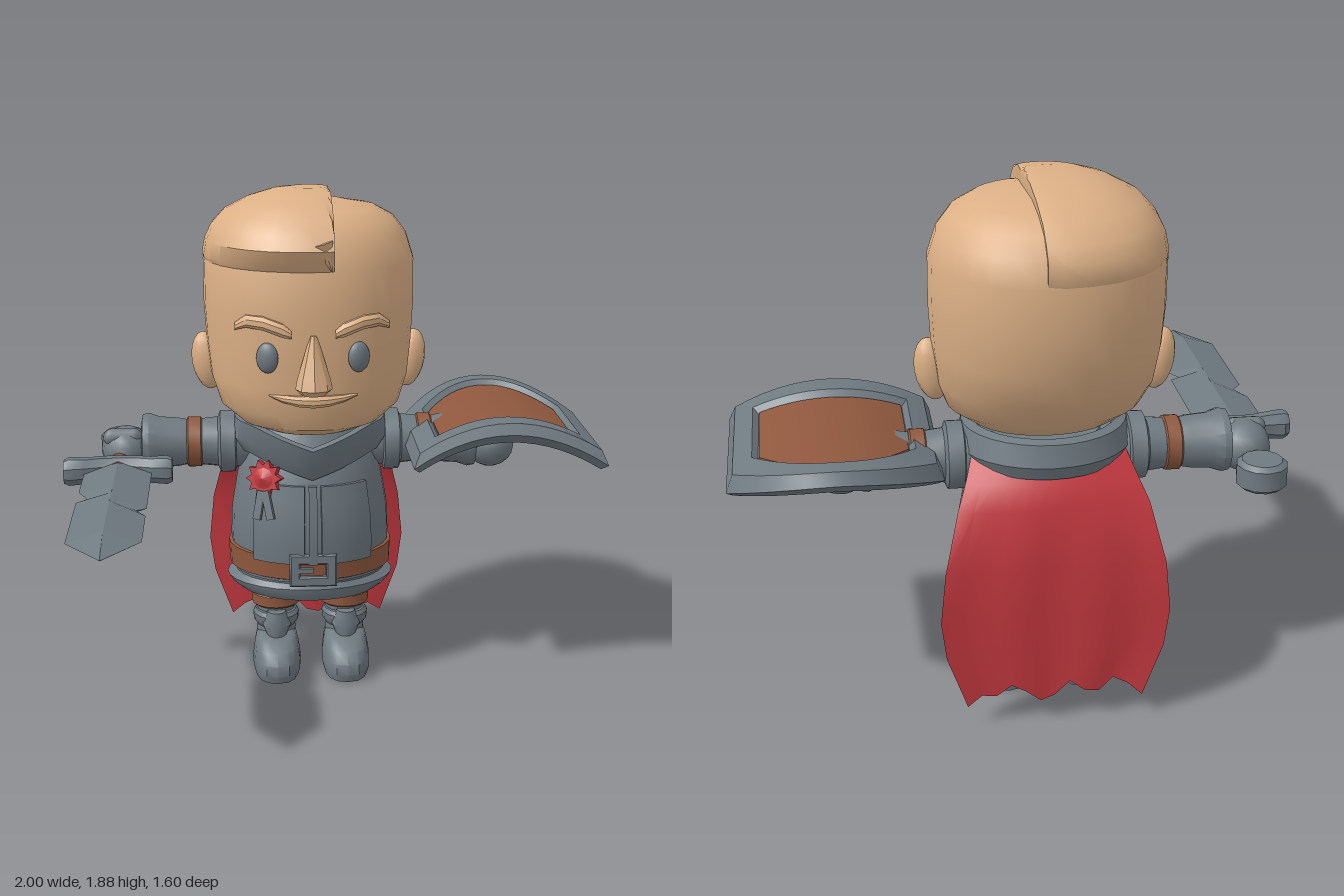
import * as THREE from 'three';
import { toCreasedNormals } from 'three/addons/utils/BufferGeometryUtils.js';

const mat = (name, color, side = THREE.FrontSide) =>
  Object.assign(new THREE.MeshStandardMaterial({ color, side }), { name });
const skin = mat('skin', 0xdcb086);
const steel = mat('steel', 0x6f7a81);
const leather = mat('leather', 0x8f583e);
const red = mat('red cloth', 0xc2383f, THREE.DoubleSide);

// Skin a list of rings of [x, y, z] points; closed lofts are capped and turned outward.
function loft(rings, closed = true, crease = 0.6) {
  const n = rings[0].length, pos = rings.flat(), idx = [];
  const quad = (a, b, c, d) => idx.push([a, b, c], [a, c, d]);
  for (let r = 0; r < rings.length - 1; r++)
    for (let i = 0; i < (closed ? n : n - 1); i++) {
      const j = (i + 1) % n;
      quad(r * n + i, r * n + j, (r + 1) * n + j, (r + 1) * n + i);
    }
  if (closed) {
    const top = (rings.length - 1) * n;
    for (let i = 0; i < n / 2 - 1; i++) {
      const a = i, b = i + 1, c = n - 2 - i, d = n - 1 - i;
      quad(d, c, b, a);
      quad(top + a, top + b, top + c, top + d);
    }
    let volume = 0;
    const p = pos.map((q) => new THREE.Vector3(...q));
    for (const [a, b, c] of idx) volume += p[a].dot(p[b].clone().cross(p[c]));
    if (volume < 0) idx.forEach((t) => t.reverse());
  }
  const g = new THREE.BufferGeometry();
  g.setAttribute('position', new THREE.Float32BufferAttribute(pos.flat(), 3));
  g.setIndex(idx.flat());
  return toCreasedNormals(g, crease);
}

const pw = (v, p) => Math.sign(v) * Math.abs(v) ** p;

// Horizontal ring from a row [y, half width, front z, back z]
function ring([y, hx, zf, zb], n = 28, p = 1, x0 = 0) {
  return Array.from({ length: n }, (_, i) => {
    const a = (i / n) * Math.PI * 2;
    return [x0 + hx * pw(Math.cos(a), p), y, (zf + zb) / 2 + ((zf - zb) / 2) * pw(Math.sin(a), p)];
  });
}
const stack = (rows, n, p, x0) => loft(rows.map((r) => ring(r, n, p, x0)));

// Strand running along x from rows [x, y, z, half height, half depth]
const strand = (rows, n = 8, s = 1) => loft(rows.map(([x, y, z, ry, rz]) =>
  Array.from({ length: n }, (_, i) => {
    const a = ((i + 0.5) / n) * Math.PI * 2;
    return [x * s, y + ry * Math.sin(a), z + rz * Math.cos(a)];
  })));

function add(parent, name, geometry, material, place) {
  const m = new THREE.Mesh(geometry, material);
  m.name = name;
  if (place) m.position.set(...place);
  parent.add(m);
  return m;
}

function buildHead(body) {
  const head = new THREE.Group();
  head.name = 'head';
  body.add(head);
  add(head, 'skull', stack([[1.0, 0.17, -0.12, -0.46], [1.03, 0.26, -0.07, -0.53], [1.09, 0.335, -0.045, -0.6],
    [1.19, 0.37, -0.03, -0.685], [1.32, 0.385, -0.02, -0.735], [1.46, 0.393, -0.012, -0.755],
    [1.62, 0.393, -0.02, -0.757], [1.71, 0.365, -0.05, -0.74], [1.77, 0.32, -0.09, -0.69],
    [1.81, 0.25, -0.15, -0.6], [1.832, 0.13, -0.24, -0.5]], 32, 0.94), skin);

  // Swept hair, cut flat along the parting
  const hair = [[1.61, 0.385, -0.03, -0.75], [1.64, 0.396, -0.003, -0.762], [1.7, 0.385, 0.028, -0.76],
    [1.75, 0.36, 0.0, -0.725], [1.8, 0.315, -0.04, -0.67], [1.845, 0.23, -0.11, -0.58], [1.875, 0.14, -0.2, -0.47],
    [1.885, 0.07, -0.28, -0.4]];
  add(head, 'hair', loft(hair.map((r) => ring(r, 32, 0.94).map(([x, y, z]) =>
    [Math.min(x, 0.075 - 0.05 * Math.max(0, -z - 0.3)), y, z]))), skin);
  const lock = add(head, 'forelock', new THREE.ConeGeometry(0.04, 0.11, 6), skin, [0.05, 1.675, -0.005]);
  lock.rotation.z = Math.PI + 0.3;

  add(head, 'nose', stack([[1.18, 0.045, 0.03, -0.06], [1.205, 0.067, 0.065, -0.06], [1.24, 0.06, 0.055, -0.06],
    [1.395, 0.012, 0.0, -0.05]], 8), skin);
  add(head, 'mouth', strand([-1, -0.7, -0.35, 0, 0.35, 0.7, 1].map((t) =>
    [0.16 * t, 1.15 + 0.018 * t * t, -0.02 - 0.045 * t * t, 0.003 + 0.02 * (1 - t * t), 0.018])), skin);

  for (const s of [-1, 1]) {
    const ear = add(head, 'ear', new THREE.SphereGeometry(1, 12, 10), skin, [0.385 * s, 1.23, -0.38]);
    ear.scale.set(0.057, 0.112, 0.05);
    ear.rotation.z = -0.15 * s;
    const eye = add(head, 'eye', new THREE.SphereGeometry(1, 16, 12), steel, [0.165 * s, 1.31, -0.045]);
    eye.scale.set(0.042, 0.056, 0.025);
    eye.rotation.y = 0.4 * s;
    add(head, 'eyebrow', strand([[0.078, 1.4, -0.012, 0.014, 0.02], [0.11, 1.415, -0.015, 0.026, 0.025],
      [0.18, 1.438, -0.04, 0.026, 0.03], [0.24, 1.44, -0.08, 0.024, 0.03], [0.28, 1.415, -0.115, 0.014, 0.025]], 8, s), skin);
  }
}

// Torso half width and half depth at height y
const torsoRows = [[0.42, 0.295, 0.255], [0.55, 0.305, 0.268], [0.66, 0.3, 0.268], [0.8, 0.276, 0.242],
  [0.91, 0.25, 0.2], [1.0, 0.19, 0.16]];
function torsoAt(y) {
  const k = Math.max(1, torsoRows.findIndex((r) => r[0] >= y));
  const [a, b] = [torsoRows[k - 1], torsoRows[k]], t = (y - a[0]) / (b[0] - a[0]);
  return [a[1] + (b[1] - a[1]) * t, a[2] + (b[2] - a[2]) * t];
}

// Raised plate following the torso between two angles
function plate(a0, a1, ys, lift) {
  return loft(ys.map((y) => {
    const [hx, hz] = torsoAt(y), arc = (o) => Array.from({ length: 7 }, (_, i) => {
      const a = THREE.MathUtils.degToRad(a0 + ((a1 - a0) * i) / 6);
      return [(hx + o) * Math.cos(a), y, -0.37 + (hz + o) * Math.sin(a)];
    });
    return [...arc(lift), ...arc(-0.02).reverse()];
  }));
}

function buildTorso(body) {
  add(body, 'torso', stack(torsoRows.map(([y, hx, hz]) => [y, hx, -0.37 + hz, -0.37 - hz])), steel);
  for (const [a, b] of [[96, 135], [45, 84]]) add(body, 'breastplate', plate(a, b, [0.5, 0.56, 0.66, 0.74, 0.8], 0.014), steel);
  add(body, 'front ridge', plate(87, 93, [0.5, 0.56, 0.66, 0.8], 0.018), steel);
  add(body, 'belt', stack([[0.43, 0.3, -0.115, -0.63], [0.435, 0.312, -0.105, -0.64],
    [0.52, 0.315, -0.1, -0.64], [0.525, 0.3, -0.11, -0.63]]), leather);
  add(body, 'skirt', stack([[0.31, 0.18, -0.23, -0.5], [0.335, 0.27, -0.15, -0.59], [0.36, 0.305, -0.135, -0.61],
    [0.385, 0.322, -0.13, -0.625], [0.405, 0.29, -0.14, -0.61], [0.44, 0.29, -0.13, -0.62]]), steel);

  // Buckle frame and prong
  const frame = new THREE.Shape([[-0.083, -0.058], [0.083, -0.058], [0.083, 0.058], [-0.083, 0.058]].map((p) => new THREE.Vector2(...p)));
  frame.holes.push(new THREE.Path([[-0.055, -0.03], [-0.055, 0.03], [0.055, 0.03], [0.055, -0.03]].map((p) => new THREE.Vector2(...p))));
  add(body, 'buckle', new THREE.ExtrudeGeometry(frame, { depth: 0.025, bevelSize: 0.006, bevelThickness: 0.006, bevelSegments: 1 }),
    steel, [0, 0.477, -0.12]);
  add(body, 'buckle prong', new THREE.BoxGeometry(0.06, 0.02, 0.02), steel, [-0.03, 0.477, -0.098]);

  // Collar dipping to a point at the front
  const collar = [[0.9, 0.27, -0.13, -0.6], [0.95, 0.3, -0.1, -0.62], [1.025, 0.285, -0.08, -0.6], [1.035, 0.255, -0.1, -0.57],
    [0.95, 0.2, -0.15, -0.52]];
  add(body, 'collar', loft(collar.map((r) => ring(r, 32).map(([x, y, z]) =>
    [x, y - (z > -0.36 ? 0.08 * Math.max(0, 1 - Math.abs(x) / 0.22) : 0), z]))), steel);

  // Rosette with two ribbon tails
  const rosette = new THREE.Group();
  rosette.name = 'rosette';
  rosette.position.set(-0.17, 0.82, -0.18);
  rosette.rotation.set(-0.2, -0.45, 0);
  body.add(rosette);
  const star = new THREE.Shape(Array.from({ length: 20 }, (_, i) => {
    const r = i % 2 ? 0.05 : 0.072, a = (i / 20) * Math.PI * 2;
    return new THREE.Vector2(r * Math.cos(a), r * Math.sin(a));
  }));
  add(rosette, 'rosette petals', new THREE.ExtrudeGeometry(star, { depth: 0.03, bevelEnabled: false }), red);
  add(rosette, 'rosette button', new THREE.ConeGeometry(0.045, 0.02, 10), red, [0, 0, 0.038]).rotation.x = Math.PI / 2;
  for (const s of [-1, 1])
    add(rosette, 'ribbon tail', new THREE.BoxGeometry(0.03, 0.11, 0.015), steel, [0.018 * s, -0.1, 0.03]).rotation.z = 0.2 * s;

  // Cape with a ragged hem
  const cape = [[0.95, 0.26, -0.54, 0.08], [0.88, 0.29, -0.6, 0.06], [0.8, 0.325, -0.635, 0.03], [0.6, 0.375, -0.662, 0],
    [0.42, 0.393, -0.668, 0], [0.28, 0.375, -0.67, 0], [0.12, 0.305, -0.67, 0]];
  const hem = [-0.035, 0.01, 0.035, -0.01, 0.0, 0.035, -0.02];
  add(body, 'cape', loft(cape.map(([y, hw, z, curl], r) => Array.from({ length: 13 }, (_, i) => {
    const t = i / 6 - 1;
    return [hw * t, y + (r === 6 ? hem[Math.abs(i - 6) === 6 ? 0 : i % 7] : 0), z + curl * t * t + (r > 2 ? 0.008 * Math.cos(t * 9) : 0)];
  })), false), red);
}

function buildLimbs(body) {
  for (const s of [-1, 1]) {
    // Arm running outward along x
    const tube = (name, m, rows) => add(body, name, strand(rows.map(([x, r]) => [x, 0.91, -0.38, r, r]), 16, s), m);
    tube('sleeve', steel, [[0.15, 0.09], [0.28, 0.1], [0.285, 0.118], [0.34, 0.118], [0.35, 0.095], [0.42, 0.088]]);
    tube('arm strap', leather, [[0.41, 0.09], [0.415, 0.096], [0.462, 0.096], [0.468, 0.09]]);
    tube('gauntlet', steel, [[0.46, 0.085], [0.5, 0.093], [0.57, 0.098], [0.61, 0.112], [0.635, 0.108], [0.64, 0.08]]);
    const hand = add(body, 'hand', new THREE.SphereGeometry(1, 14, 10), steel, [0.7 * s, 0.885, -0.38]);
    hand.scale.set(0.095, 0.09, 0.1);
    add(body, 'thumb', new THREE.CapsuleGeometry(0.035, 0.08, 4, 8), steel, [0.71 * s, 0.94, -0.35]).rotation.z = Math.PI / 2;

    // Leg, strap and boot
    const x0 = 0.135 * s, part = (name, m, rows, p) => add(body, name, stack(rows, 16, p, x0), m);
    part('leg', steel, [[0.1, 0.072, -0.29, -0.44], [0.38, 0.078, -0.28, -0.45]]);
    part('leg strap', leather, [[0.253, 0.085, -0.28, -0.45], [0.26, 0.094, -0.273, -0.46],
      [0.3, 0.094, -0.273, -0.46], [0.307, 0.085, -0.28, -0.45]]);
    part('boot shaft', steel, [[0.1, 0.078, -0.27, -0.46], [0.17, 0.075, -0.28, -0.45], [0.19, 0.088, -0.26, -0.46],
      [0.22, 0.09, -0.255, -0.46], [0.235, 0.08, -0.265, -0.45]]);
    part('knee guard', steel, [[0.13, 0.03, -0.24, -0.32], [0.19, 0.055, -0.235, -0.32], [0.245, 0.035, -0.245, -0.32]]);
    part('boot foot', steel, [[0, 0.085, -0.135, -0.47], [0.03, 0.093, -0.125, -0.477], [0.07, 0.092, -0.13, -0.475],
      [0.11, 0.086, -0.16, -0.465], [0.14, 0.078, -0.215, -0.46], [0.155, 0.06, -0.26, -0.45]], 0.8);
  }
}

function buildSword() {
  const sword = new THREE.Group();
  sword.name = 'sword';
  // Notched blade with a diamond section, rows [z, left x, right x]
  const blade = [[-0.17, -0.925, -0.675], [0.08, -0.925, -0.675], [0.16, -0.89, -0.675], [0.2, -0.925, -0.675],
    [0.28, -0.925, -0.675], [0.3, -0.925, -0.71], [0.36, -0.925, -0.675], [0.63, -0.925, -0.675], [0.8, -0.802, -0.798]];
  add(sword, 'blade', loft(blade.map(([z, l, r]) => {
    const h = z > 0.7 ? 0.002 : 0.037;
    return [[l, 0.858, z], [-0.8, 0.858 + h, z], [r, 0.858, z], [-0.8, 0.858 - h, z]];
  }), true, 0.1), steel);
  add(sword, 'crossguard', strand([[-1, 0.86, -0.175, 0.045, 0.045], [-0.98, 0.86, -0.178, 0.054, 0.055],
    [-0.92, 0.86, -0.182, 0.05, 0.045], [-0.86, 0.86, -0.2, 0.05, 0.045], [-0.74, 0.86, -0.2, 0.05, 0.045],
    [-0.68, 0.86, -0.182, 0.05, 0.045], [-0.62, 0.86, -0.178, 0.054, 0.055], [-0.6, 0.86, -0.175, 0.045, 0.045]]), steel);
  add(sword, 'grip', new THREE.CylinderGeometry(0.036, 0.036, 0.4, 10), leather, [-0.8, 0.86, -0.36]).rotation.x = Math.PI / 2;
  add(sword, 'pommel', stack([[0.81, 0.07, -0.485, -0.625], [0.825, 0.088, -0.467, -0.643], [0.895, 0.088, -0.467, -0.643],
    [0.91, 0.07, -0.485, -0.625]], 12, 1, -0.8), steel);
  return sword;
}

function buildShield() {
  const shield = new THREE.Group();
  shield.name = 'shield';
  // Arched outline bent across x: half width, top z, shoulder drop, bottom z, height
  const outline = (w, top, drop, bottom, y) => {
    const side = (zAt) => Array.from({ length: 15 }, (_, i) => {
      const t = i / 7 - 1, x = 0.64 + w * t;
      return [x, y - 0.9 * (x - 0.64) ** 2, zAt(t)];
    });
    return [...side((t) => top + drop * Math.abs(t) ** 2.2), ...side((t) => bottom - 0.025 * (1 - t * t)).reverse()];
  };
  add(shield, 'shield rim', loft([outline(0.335, -0.765, 0.22, 0.0, 0.985), outline(0.358, -0.8, 0.23, 0.03, 1.02),
    outline(0.335, -0.775, 0.23, 0.01, 1.06), outline(0.27, -0.705, 0.21, -0.085, 1.06),
    outline(0.25, -0.685, 0.2, -0.11, 1.035)]), steel);
  add(shield, 'shield panel', loft([outline(0.247, -0.68, 0.2, -0.113, 1.034), outline(0.247, -0.68, 0.2, -0.113, 1.041)]), leather);
  add(shield, 'arm mount', new THREE.BoxGeometry(0.1, 0.08, 0.12), steel, [0.56, 0.97, -0.38]);
  return shield;
}

export function createModel() {
  const model = new THREE.Group();
  model.name = 'knight';
  const body = new THREE.Group();
  body.name = 'body';
  body.position.x = -0.08;
  buildHead(body);
  buildTorso(body);
  buildLimbs(body);
  model.add(body, buildSword(), buildShield());
  return model;
}
